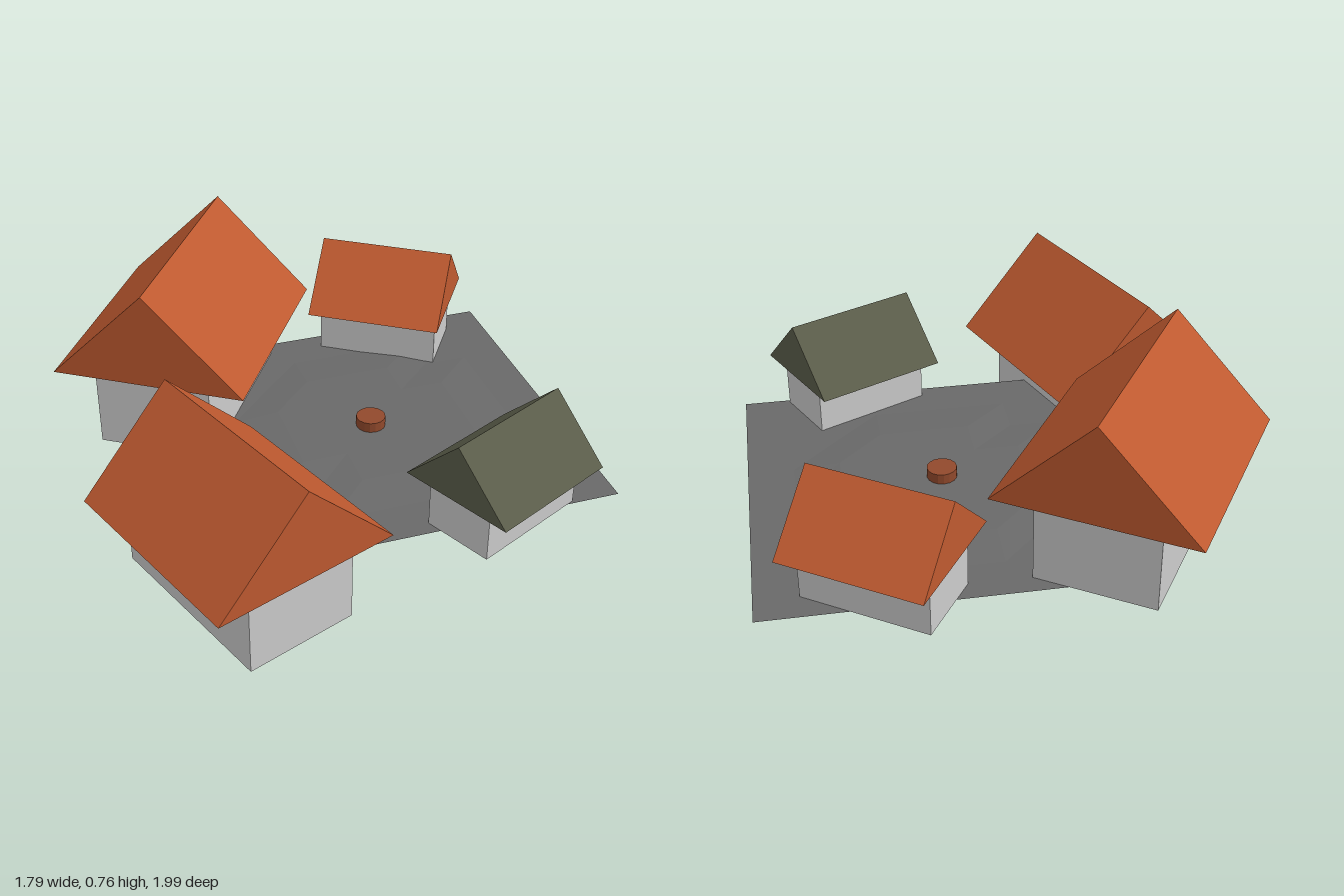
import * as THREE from 'three';

const paint = (color) => new THREE.MeshStandardMaterial({ color, flatShading: true });
const wallMat = paint(0xcccccc);
const orange = paint(0xbf5a30);
const green = paint(0x5b5d4a);

function mesh(name, geometry, material) {
  const m = new THREE.Mesh(geometry, material);
  m.name = name;
  return m;
}

// House: ridge runs along local z, walls inset under a solid gabled roof
function house(name, { x, z, dir, length, width, base, eave, ridge, roofMat }) {
  const g = new THREE.Group();
  g.name = name;

  const walls = mesh('walls', new THREE.BoxGeometry(width * 0.6, eave - base, length * 0.9), wallMat);
  walls.position.y = (base + eave) / 2;

  const gable = new THREE.Shape([
    new THREE.Vector2(-width / 2, eave),
    new THREE.Vector2(width / 2, eave),
    new THREE.Vector2(0, ridge),
  ]);
  const roofGeo = new THREE.ExtrudeGeometry(gable, { depth: length, bevelEnabled: false });
  roofGeo.translate(0, 0, -length / 2);

  g.add(walls, mesh('roof', roofGeo, roofMat));
  g.position.set(x, 0, z);
  g.rotation.y = Math.atan2(dir[0], dir[1]);
  return g;
}

// Ground: thin square sheet with a low mound in the middle
function ground() {
  const geo = new THREE.PlaneGeometry(1.32, 1.315, 8, 8);
  geo.rotateX(-Math.PI / 2);
  const p = geo.attributes.position;
  for (let i = 0; i < p.count; i++) {
    const r = Math.hypot(p.getX(i), p.getZ(i));
    p.setY(i, 0.014 * (1 - THREE.MathUtils.smoothstep(r, 0.34, 0.5)));
  }
  geo.computeVertexNormals();
  const mat = paint(0x696969);
  mat.side = THREE.DoubleSide;
  const m = mesh('ground', geo, mat);
  m.position.set(0.24, 0.113, -0.073);
  return m;
}

export function createModel() {
  const village = new THREE.Group();
  village.name = 'village';

  village.add(
    ground(),
    house('largeHouse', {
      x: -0.372, z: -0.47, dir: [-0.543, 0.84], length: 0.81, width: 0.705,
      base: 0.113, eave: 0.41, ridge: 0.765, roofMat: orange,
    }),
    house('tallHouse', {
      x: -0.445, z: 0.52, dir: [0.358, 0.934], length: 0.755, width: 0.67,
      base: 0, eave: 0.287, ridge: 0.622, roofMat: orange,
    }),
    house('smallHouse', {
      x: 0.482, z: -0.643, dir: [0.835, 0.55], length: 0.515, width: 0.455,
      base: 0.113, eave: 0.307, ridge: 0.533, roofMat: orange,
    }),
    house('greenRoofHouse', {
      x: 0.472, z: 0.553, dir: [0.902, -0.431], length: 0.498, width: 0.43,
      base: 0.113, eave: 0.292, ridge: 0.507, roofMat: green,
    }),
  );

  // Round well sunk through the ground
  const well = mesh('well', new THREE.CylinderGeometry(0.054, 0.054, 0.105, 16), paint(0x91492c));
  well.position.set(0.215, 0.113, -0.055);
  village.add(well);

  return village;
}
